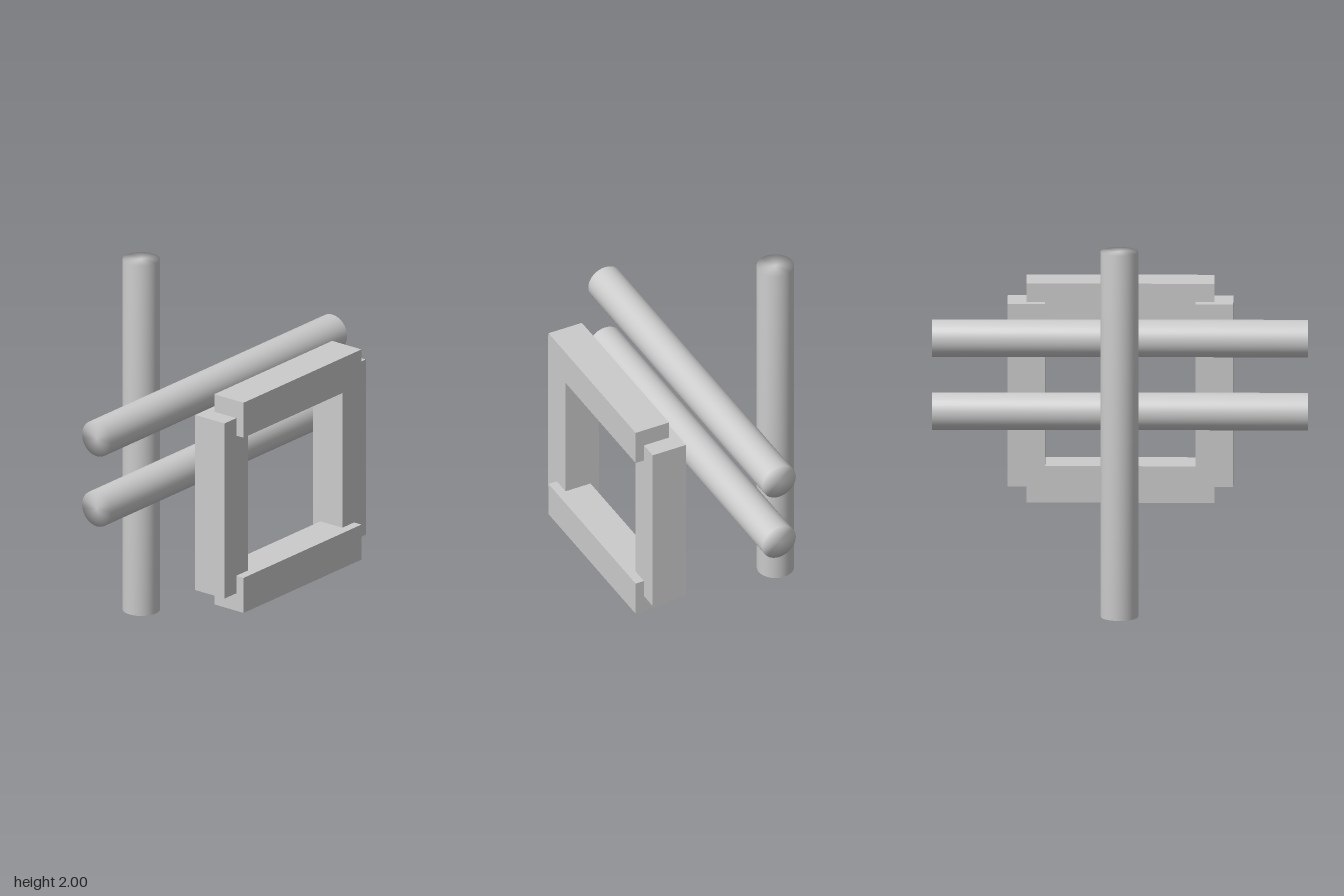
import * as THREE from 'three';
import { mergeVertices } from 'three/addons/utils/BufferGeometryUtils.js';

const material = new THREE.MeshStandardMaterial({ color: 0xcccccc });

// Round pole whose shading runs smoothly over the rim onto the flat ends
function poleGeometry(radius, length) {
  const geometry = new THREE.CylinderGeometry(radius, radius, length, 32);
  geometry.deleteAttribute('normal');
  geometry.deleteAttribute('uv');
  const merged = mergeVertices(geometry, 1e-4);
  merged.computeVertexNormals();
  return merged;
}

export function createModel() {
  const model = new THREE.Group();
  model.name = 'poleAndFrameStructure';

  const add = (name, geometry, x, y, z) => {
    const mesh = new THREE.Mesh(geometry, material);
    mesh.name = name;
    mesh.position.set(x, y, z);
    model.add(mesh);
    return mesh;
  };

  // Upright pole at the back
  const pole = poleGeometry(0.1, 2);
  add('uprightPole', pole, 0, 1, -0.5);

  // Two crossing rails in the middle
  add('lowerRail', pole, 0, 1, 0).rotation.z = Math.PI / 2;
  add('upperRail', pole, 0, 1.4, 0).rotation.z = Math.PI / 2;

  // Square frame at the front: beams sit slightly ahead of the posts
  const beam = new THREE.BoxGeometry(1, 0.2, 0.2);
  add('bottomBeam', beam, 0, 0.5, 0.5);
  add('topBeam', beam, 0, 1.5, 0.5);
  const post = new THREE.BoxGeometry(0.2, 1, 0.2);
  add('leftPost', post, 0.5, 1, 0.45);
  add('rightPost', post, -0.5, 1, 0.45);

  return model;
}
